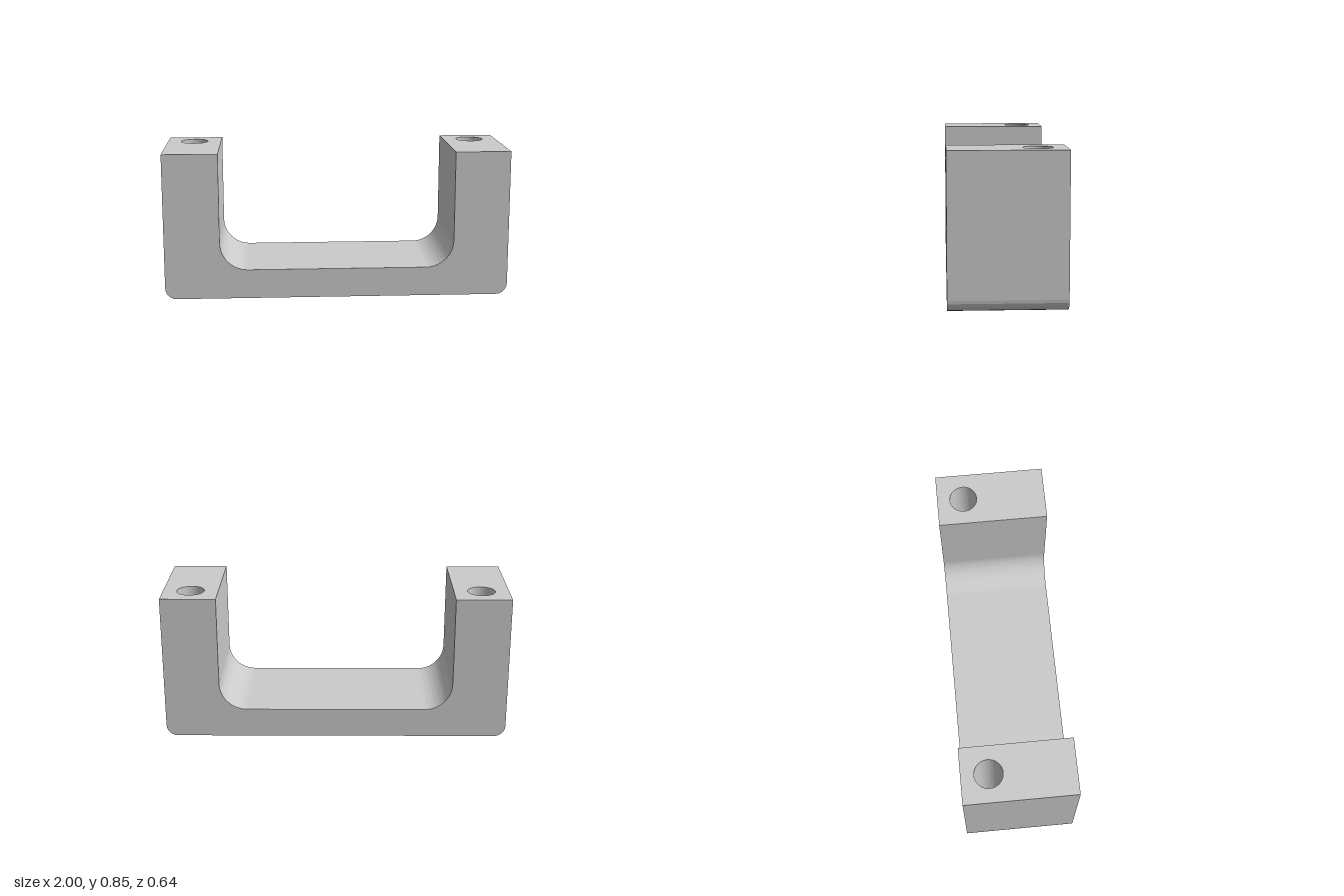
import * as THREE from 'three';
import { mergeGeometries } from 'three/addons/utils/BufferGeometryUtils.js';

const H = 0.85, FLOOR = 0.17, INNER = 0.68, HALF_Z = 0.32;
const R_OUT = 0.065, R_IN = 0.16;
const HOLE = { x: 0.84, z: -0.165, r: 0.08, sides: 32 };

function arc(cx, cy, r, startDeg, endDeg, n) {
  return Array.from({ length: n + 1 }, (_, i) => {
    const a = THREE.MathUtils.degToRad(startDeg + (endDeg - startDeg) * i / n);
    return new THREE.Vector2(cx + r * Math.cos(a), cy + r * Math.sin(a));
  });
}

// Rectangle in x and y, pierced by round holes at the given x positions
function piercedPlate(x0, x1, holeXs, holeY) {
  const s = new THREE.Shape([[x0, -HALF_Z], [x1, -HALF_Z], [x1, HALF_Z], [x0, HALF_Z]]
    .map(([x, y]) => new THREE.Vector2(x, y)));
  for (const x of holeXs) s.holes.push(new THREE.Path().absarc(x, holeY, HOLE.r, 0, Math.PI * 2, true));
  return new THREE.ShapeGeometry(s, HOLE.sides);
}

// Walls across the depth along the profile, leaving out the pierced top and bottom
function profileWalls(points) {
  const pos = [];
  points.forEach((p, i) => {
    const q = points[(i + 1) % points.length];
    const level = y => Math.abs(p.y - y) < 1e-6 && Math.abs(q.y - y) < 1e-6;
    if (level(0) || level(H)) return;
    const a = [p.x, p.y, HALF_Z], b = [p.x, p.y, -HALF_Z];
    const c = [q.x, q.y, -HALF_Z], d = [q.x, q.y, HALF_Z];
    pos.push(...a, ...b, ...c, ...a, ...c, ...d);
  });
  const g = new THREE.BufferGeometry();
  g.setAttribute('position', new THREE.Float32BufferAttribute(pos, 3));
  return g;
}

function positionsOnly(geometry) {
  const g = geometry.index ? geometry.toNonIndexed() : geometry;
  g.deleteAttribute('uv');
  g.computeVertexNormals();
  return g;
}

export function createModel() {
  const group = new THREE.Group();
  group.name = 'uBracket';
  const material = new THREE.MeshStandardMaterial({ color: 0xcccccc, flatShading: true });

  // U profile, counter-clockwise from the bottom left corner
  const profile = [
    ...arc(-1 + R_OUT, R_OUT, R_OUT, 180, 270, 6),
    ...arc(1 - R_OUT, R_OUT, R_OUT, -90, 0, 6),
    new THREE.Vector2(1, H),
    new THREE.Vector2(INNER, H),
    ...arc(INNER - R_IN, FLOOR + R_IN, R_IN, 0, -90, 12),
    ...arc(-INNER + R_IN, FLOOR + R_IN, R_IN, -90, -180, 12),
    new THREE.Vector2(-INNER, H),
    new THREE.Vector2(-1, H),
  ];

  // Body: front, back, walls, pierced leg tops and pierced underside
  const face = new THREE.ShapeGeometry(new THREE.Shape(profile));
  const parts = [
    face.clone().translate(0, 0, HALF_Z),
    face.clone().rotateY(Math.PI).translate(0, 0, -HALF_Z),
    profileWalls(profile),
    piercedPlate(-1 + R_OUT, 1 - R_OUT, [-HOLE.x, HOLE.x], HOLE.z).rotateX(Math.PI / 2),
    piercedPlate(INNER, 1, [HOLE.x], -HOLE.z).rotateX(-Math.PI / 2).translate(0, H, 0),
    piercedPlate(-1, -INNER, [-HOLE.x], -HOLE.z).rotateX(-Math.PI / 2).translate(0, H, 0),
  ];
  const body = new THREE.Mesh(mergeGeometries(parts.map(positionsOnly)), material);
  body.name = 'bracketBody';
  group.add(body);

  // Screw holes running the full height of each leg
  const boreMaterial = material.clone();
  boreMaterial.side = THREE.DoubleSide;
  for (const side of [-1, 1]) {
    const bore = new THREE.Mesh(
      new THREE.CylinderGeometry(HOLE.r, HOLE.r, H, HOLE.sides, 1, true), boreMaterial);
    bore.position.set(side * HOLE.x, H / 2, HOLE.z);
    bore.name = side > 0 ? 'leftScrewHole' : 'rightScrewHole';
    group.add(bore);
  }
  return group;
}
